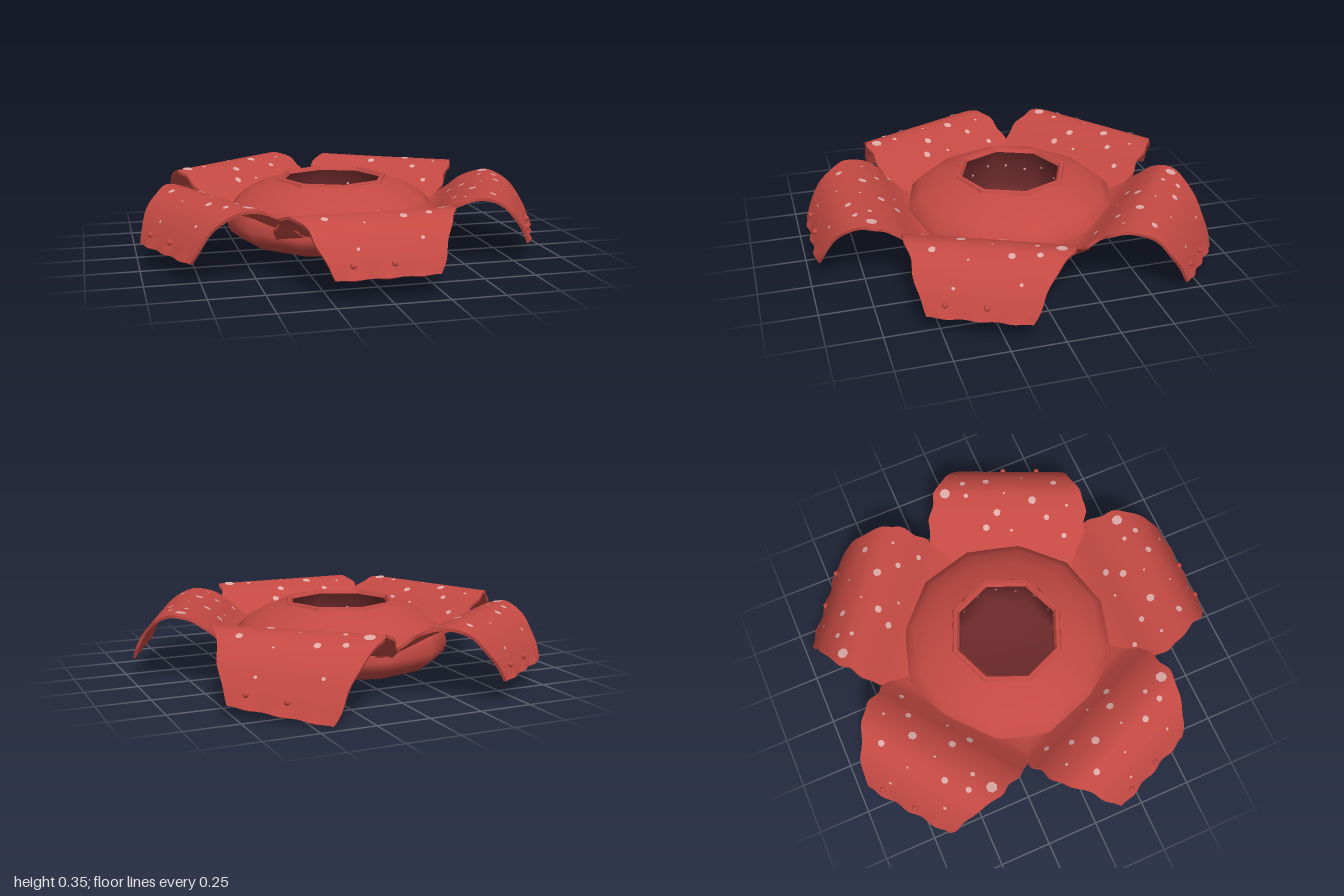
import * as THREE from 'three';
import { toCreasedNormals } from 'three/addons/utils/BufferGeometryUtils.js';

const mat = (name, color) => {
  const m = new THREE.MeshStandardMaterial({ color });
  m.name = name;
  return m;
};
const V = (x, y, z) => new THREE.Vector3(x, y, z);

// Petal profile from root to tip: half width, height, distance from centre
const profile = new THREE.CatmullRomCurve3([
  V(0.33, 0.15, 0.38), V(0.385, 0.185, 0.5), V(0.4, 0.225, 0.56), V(0.4, 0.28, 0.63),
  V(0.39, 0.318, 0.71), V(0.365, 0.332, 0.79), V(0.315, 0.29, 0.89), V(0.275, 0.205, 0.96),
  V(0.23, 0.105, 1.01),
]);

// Point on the upper petal surface: a runs across (-1..1), t along (0..1)
function surface(a, t, { droop, lift }) {
  const p = profile.getPoint(t);
  const wave = 0.014 * Math.sin(t * 34 + Math.sign(a)) + 0.012 * Math.sin(t * 19 + 2 * Math.sign(a));
  const x = a * p.x * (1 + wave * a ** 4);
  const bend = THREE.MathUtils.clamp((p.z - 0.7) / 0.3, 0, 1);
  const y = p.y + lift * (1 - bend) - droop * bend * (0.72 + 1.2 * x);
  return V(x, y, p.z + 0.006 * Math.cos(a * 10) * t ** 30);
}

function normalAt(a, t, shape) {
  const e = 0.005;
  const along = surface(a, Math.min(1, t + e), shape).sub(surface(a, Math.max(0, t - e), shape));
  return V(0, along.z, -along.y).normalize();
}

// Thin closed sheet bent to the petal surface
function petalGeometry(shape) {
  const g = new THREE.BoxGeometry(2, 1, 1, 18, 1, 32);
  const pos = g.attributes.position;
  for (let i = 0; i < pos.count; i++) {
    const a = pos.getX(i), t = pos.getZ(i) + 0.5;
    const p = surface(a, t, shape).addScaledVector(normalAt(a, t, shape), (pos.getY(i) - 0.5) * 0.014);
    pos.setXYZ(i, p.x, p.y, p.z);
  }
  g.computeVertexNormals();
  return g;
}

// Pale spots: sideways offset, distance from centre, radius
const spots = [
  [-0.29, 0.57, 0.014], [-0.2, 0.645, 0.015], [0.055, 0.665, 0.019], [-0.125, 0.725, 0.021],
  [0.215, 0.745, 0.012], [0.32, 0.755, 0.027], [-0.235, 0.825, 0.017], [0.115, 0.83, 0.017],
  [0.235, 0.815, 0.015], [-0.02, 0.59, 0.008], [0.11, 0.6, 0.018], [0.02, 0.76, 0.006],
  [-0.3, 0.7, 0.008], [-0.07, 0.86, 0.006], [0.17, 0.93, 0.009], [-0.12, 0.95, 0.008],
];
// Small warts along the tip
const warts = [[-0.15, 0.985], [0.03, 0.985]];

// Places a mesh on the petal, facing outward
function place(mesh, name, x, r, shape) {
  let lo = 0, hi = 1;
  for (let i = 0; i < 20; i++) {
    const mid = (lo + hi) / 2;
    if (profile.getPoint(mid).z < r) lo = mid; else hi = mid;
  }
  const a = x / profile.getPoint(lo).x;
  const n = normalAt(a, lo, shape);
  mesh.name = name;
  mesh.position.copy(surface(a, lo, shape)).addScaledVector(n, 0.004);
  mesh.quaternion.setFromUnitVectors(V(0, 0, 1), n);
  return mesh;
}

function lathe(name, points, sides, material, crease) {
  const g = new THREE.LatheGeometry(points.map(([r, y]) => new THREE.Vector2(r, y)), sides);
  const m = new THREE.Mesh(crease ? toCreasedNormals(g, crease) : g, material);
  m.name = name;
  return m;
}

export function createModel() {
  const red = mat('petalRed', 0xc44943);
  const dark = mat('cavityDarkRed', 0x6c292a);
  const pale = mat('spotPink', 0xdcaaa6);

  const flower = new THREE.Group();
  flower.name = 'flower';

  // Five petals: angle, shift along the petal, sag of the tip, lift of the root
  const petals = [
    [0, 0, 0, 0], [66, -0.012, 0, 0.012], [141, -0.02, 0.1, 0.02],
    [-143, -0.045, 0, 0.018], [-66, -0.042, 0, 0.008],
  ];
  for (const [angle, shift, droop, lift] of petals) {
    const shape = { droop, lift };
    const group = new THREE.Group();
    group.name = 'petal';
    const blade = new THREE.Mesh(petalGeometry(shape), red);
    blade.name = 'petalBlade';
    group.add(blade);
    for (const [x, r, size] of spots) {
      group.add(place(new THREE.Mesh(new THREE.CircleGeometry(size, 7), pale), 'petalSpot', x, r, shape));
    }
    for (const [x, r] of warts) {
      group.add(place(new THREE.Mesh(new THREE.SphereGeometry(0.014, 8, 6), red), 'petalWart', x, r, shape));
    }
    group.rotation.y = THREE.MathUtils.degToRad(angle);
    group.translateZ(shift);
    flower.add(group);
  }

  // Low domed body
  flower.add(lathe('body', [
    [0, 0.025], [0.33, 0.025], [0.46, 0.05], [0.52, 0.095], [0.535, 0.14],
    [0.52, 0.205], [0.47, 0.255], [0.38, 0.308], [0.27, 0.342],
  ], 12, red));

  // Eight-sided lip and the hollow under it
  flower.add(lathe('rim', [
    [0.3, 0.32], [0.285, 0.338], [0.28, 0.352], [0.262, 0.354], [0.25, 0.335],
  ], 8, red, 0.4));
  flower.add(lathe('cavity', [
    [0.25, 0.335], [0.275, 0.27], [0.285, 0.14], [0.25, 0.1], [0, 0.09],
  ], 8, dark));

  // Pale flecks on the wall of the hollow, two to each side
  for (let i = 0; i < 16; i++) {
    const side = new THREE.Group();
    side.name = 'cavityFleck';
    side.rotation.y = (Math.floor(i / 2) + 0.5) * Math.PI / 4;
    const fleck = new THREE.Mesh(new THREE.CircleGeometry(0.007, 6), pale);
    fleck.name = 'fleck';
    fleck.position.set(i % 2 ? 0.05 : -0.05, 0.25 + 0.015 * Math.sin(i * 2.3), 0.248);
    fleck.rotation.y = Math.PI;
    side.add(fleck);
    flower.add(side);
  }

  flower.position.set(-0.015, 0, -0.045);
  const model = new THREE.Group();
  model.name = 'giantFlower';
  model.add(flower);
  return model;
}
